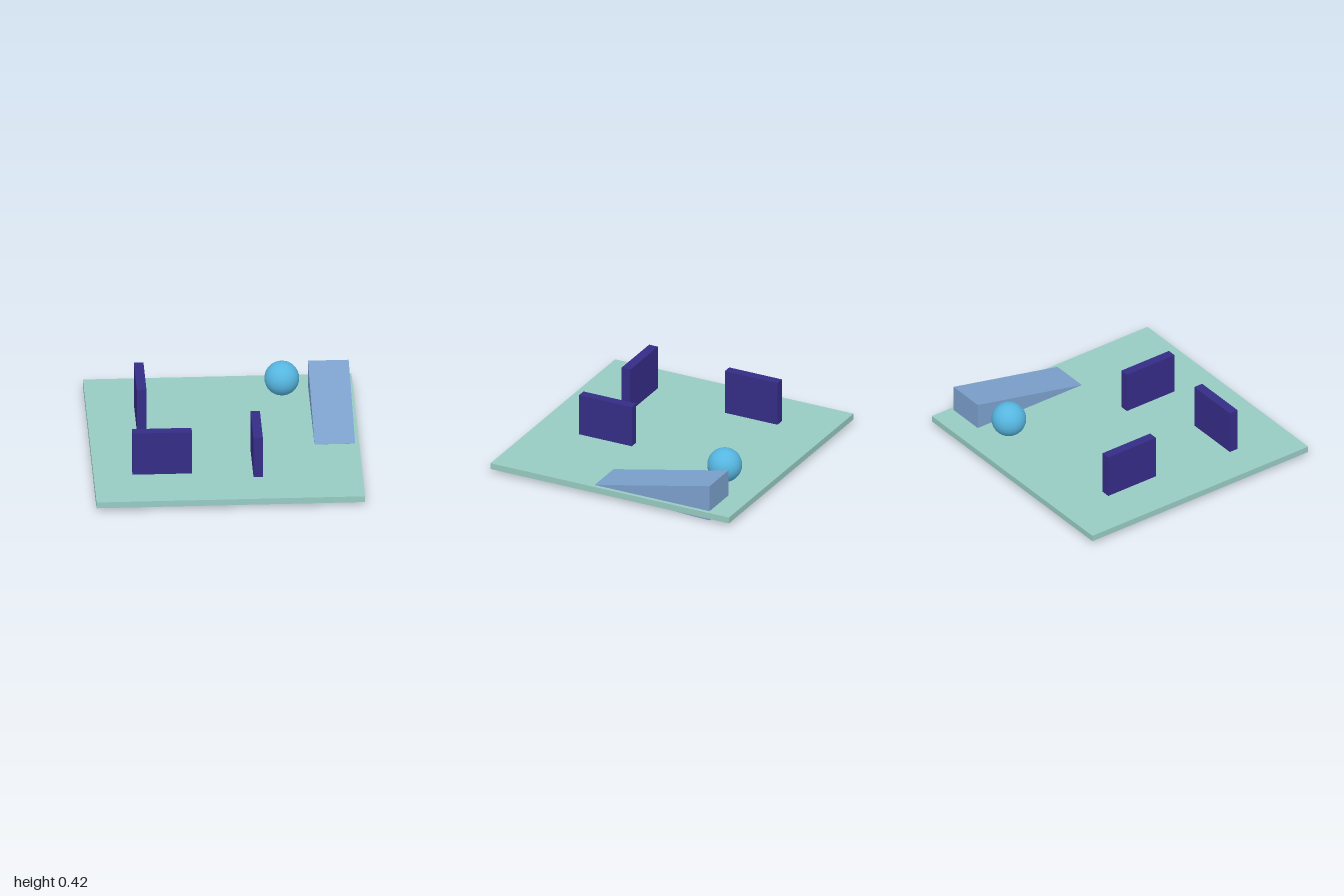
import * as THREE from 'three';

const mat = (name, color) => new THREE.MeshStandardMaterial({ name, color });

export function createModel() {
  const group = new THREE.Group();
  const green = mat('seafoam green', 0x97cbc2);
  const indigo = mat('deep indigo', 0x352c86);
  const blue = mat('dusty blue', 0x7ca1cd);
  const sky = mat('sky blue', 0x56b6e0);

  const add = (name, geometry, material, x = 0, y = 0, z = 0) => {
    const mesh = new THREE.Mesh(geometry, material);
    mesh.name = name;
    mesh.position.set(x, y, z);
    group.add(mesh);
    return mesh;
  };

  // Box given by its lower and upper corners
  const box = (name, material, [x0, y0, z0], [x1, y1, z1]) =>
    add(name, new THREE.BoxGeometry(x1 - x0, y1 - y0, z1 - z0), material,
      (x0 + x1) / 2, (y0 + y1) / 2, (z0 + z1) / 2);

  // Floor slab
  box('floor', green, [-1, 0.028, -1], [1, 0.076, 1]);

  // Upright wall panels
  box('frontWall', indigo, [-0.71, 0.07, 0.49], [-0.267, 0.42, 0.563]);
  box('backWall', indigo, [-0.642, 0.07, -0.587], [-0.57, 0.42, -0.145]);
  box('middleWall', indigo, [0.187, 0.07, 0.203], [0.257, 0.4, 0.645]);

  // Ball
  add('ball', new THREE.SphereGeometry(0.13, 32, 16), sky, 0.465, 0.213, -0.685);

  // Ramp: side profile drawn as (-z, y), then extruded across x
  const profile = new THREE.Shape([
    [-0.142, 0.077], [-0.142, 0.045], [0.23, 0.026], [0.66, 0.004], [0.822, 0], [0.822, 0.282],
  ].map(([a, b]) => new THREE.Vector2(a, b)));
  const ramp = new THREE.ExtrudeGeometry(profile, { depth: 0.303, bevelEnabled: false });
  ramp.rotateY(Math.PI / 2);
  add('ramp', ramp, blue, 0.667, 0, 0);

  return group;
}
